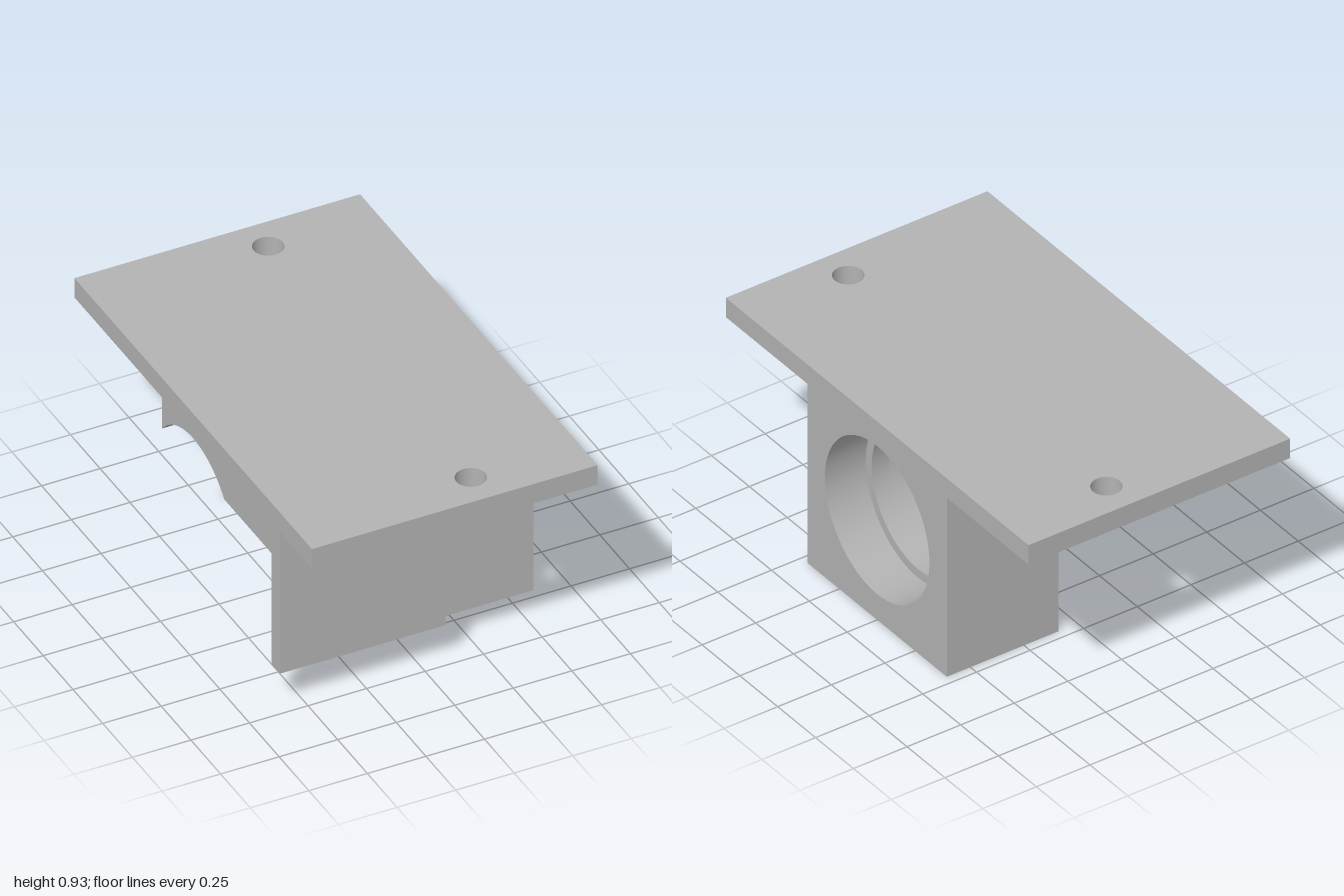
import * as THREE from 'three';
import { toCreasedNormals } from 'three/addons/utils/BufferGeometryUtils.js';

const BORE_Y = 0.465, BORE_R = 0.345, LIP_R = 0.305;

export function createModel() {
  const model = new THREE.Group();
  model.name = 'motorBracket';
  const grey = new THREE.MeshStandardMaterial({ color: 0xb2b2b2 });
  grey.name = 'grey';

  const add = (name, geometry) => {
    const mesh = new THREE.Mesh(toCreasedNormals(geometry, 0.5), grey);
    mesh.name = name;
    model.add(mesh);
  };
  const polygon = (points) => new THREE.Shape(points.map(([a, b]) => new THREE.Vector2(a, b)));
  const drill = (shape, a, b, r) => {
    shape.holes.push(new THREE.Path().absarc(a, b, r, 0, Math.PI * 2, true));
    return shape;
  };
  const extrude = (shape, depth) =>
    new THREE.ExtrudeGeometry(shape, { depth, bevelEnabled: false, curveSegments: 40 });
  // Profile drawn in (-z, y) and swept along x from x0 to x1
  const sweepX = (shape, x0, x1) => extrude(shape, x1 - x0).rotateY(Math.PI / 2).translate(x0, 0, 0);
  const box = (x0, x1, y0, y1, z0, z1) =>
    new THREE.BoxGeometry(x1 - x0, y1 - y0, z1 - z0)
      .translate((x0 + x1) / 2, (y0 + y1) / 2, (z0 + z1) / 2);

  // Top mounting plate with two screw holes
  const plate = polygon([[-0.61, -1], [0.61, -1], [0.61, 1], [-0.61, 1]]);
  for (const z of [-0.853, 0.853]) drill(plate, 0.143, z, 0.062);
  add('mountingPlate', extrude(plate, 0.09).rotateX(-Math.PI / 2).translate(0, 0.835, 0));

  // Bearing block, in slices: notched back, rear bore, inner lip, front bore
  const square = [[-0.46, 0], [0.46, 0], [0.46, 0.835], [-0.46, 0.835]];
  const notched = [...square, [-0.46, 0.605], [-0.4, 0.605], [-0.4, 0.325], [-0.46, 0.325]];
  const slices = [
    ['blockNotchedEnd', notched, BORE_R, 0.09, 0.118],
    ['blockRearBore', square, BORE_R, 0.118, 0.34],
    ['blockInnerLip', square, LIP_R, 0.34, 0.42],
    ['blockFrontBore', square, BORE_R, 0.42, 0.61],
  ];
  for (const [name, outline, r, x0, x1] of slices) {
    add(name, sweepX(drill(polygon(outline), 0, BORE_Y, r), x0, x1));
  }

  // Slab under the plate, scooped out in line with the bore
  const a = Math.asin((0.69 - BORE_Y) / BORE_R);
  const u = BORE_R * Math.cos(a);
  const slab = new THREE.Shape();
  slab.moveTo(u, 0.835);
  slab.lineTo(-0.73, 0.835);
  slab.lineTo(-0.73, 0.69);
  slab.lineTo(-u, 0.69);
  slab.absarc(0, BORE_Y, BORE_R, Math.PI - a, a, true);
  slab.lineTo(u, 0.835);
  add('scoopedSlab', sweepX(slab, -0.61, 0.09));

  // Front wall
  add('frontWall', box(-0.61, 0.098, 0.172, 0.835, 0.66, 0.73));

  // Flange with an open window and two small screw holes
  const flange = polygon([
    [-0.73, 0.172], [-0.4, 0.172], [-0.4, 0.325], [-0.66, 0.325],
    [-0.66, 0.605], [-0.4, 0.605], [-0.4, 0.835], [-0.73, 0.835],
  ]);
  for (const y of [0.277, 0.655]) drill(flange, -0.54, y, 0.023);
  add('windowFlange', sweepX(flange, 0.045, 0.098));

  return model;
}
